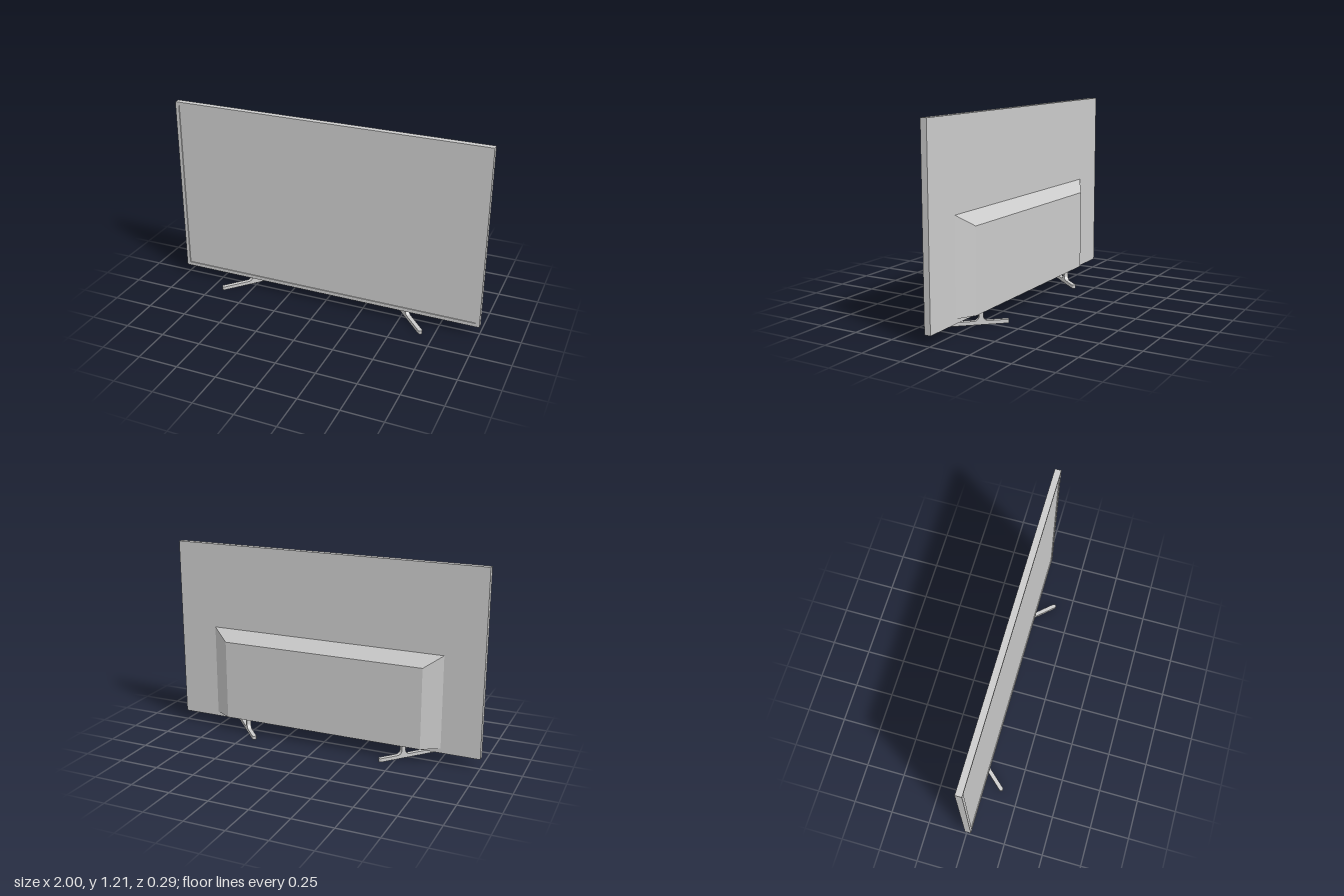
import * as THREE from 'three';
import { toCreasedNormals } from 'three/addons/utils/BufferGeometryUtils.js';

const material = new THREE.MeshStandardMaterial({ color: 0xcccccc });

function part(name, geometry, x = 0, y = 0, z = 0) {
  const mesh = new THREE.Mesh(geometry, material);
  mesh.name = name;
  mesh.position.set(x, y, z);
  return mesh;
}

function rectangle(path, x, y0, y1) {
  path.moveTo(-x, y0).lineTo(x, y0).lineTo(x, y1).lineTo(-x, y1).closePath();
  return path;
}

// Tapered rear housing: sides and top slope inward, bottom stays level
function housingGeometry() {
  const geometry = new THREE.BoxGeometry(2, 1, 1);
  const p = geometry.attributes.position;
  for (let i = 0; i < p.count; i++) {
    const back = p.getZ(i) < 0;
    p.setXYZ(i,
      Math.sign(p.getX(i)) * (back ? 0.65 : 0.76),
      p.getY(i) < 0 ? 0.09 : (back ? 0.597 : 0.67),
      back ? -0.07 : -0.006);
  }
  const flat = geometry.toNonIndexed();
  flat.computeVertexNormals();
  return flat;
}

// One foot: a round-ended bar with a filleted upright stem
function createFoot(side) {
  const foot = new THREE.Group();
  foot.name = side > 0 ? 'leftFoot' : 'rightFoot';
  const half = 0.179, r = 0.013, height = 0.022;

  const plan = new THREE.Shape();
  plan.moveTo(-half, -r).lineTo(half, -r);
  plan.absarc(half, 0, r, -Math.PI / 2, Math.PI / 2);
  plan.lineTo(-half, r);
  plan.absarc(-half, 0, r, Math.PI / 2, Math.PI * 1.5);
  const bar = new THREE.ExtrudeGeometry(plan, { depth: height, bevelEnabled: false, curveSegments: 10 });
  bar.rotateX(-Math.PI / 2);
  foot.add(part('footBar', toCreasedNormals(bar, 0.6)));

  const w = 0.012, f = 0.032, top = 0.095, base = height - 0.001;
  const profile = new THREE.Shape();
  profile.moveTo(-w - f, base).lineTo(w + f, base);
  profile.absarc(w + f, base + f, f, -Math.PI / 2, -Math.PI, true);
  profile.lineTo(w, top).lineTo(-w, top);
  profile.absarc(-w - f, base + f, f, 0, -Math.PI / 2, true);
  const stem = new THREE.ExtrudeGeometry(profile, { depth: 2 * r, bevelEnabled: false, curveSegments: 10 });
  foot.add(part('footStem', toCreasedNormals(stem, 0.6), -0.028, 0, -r));

  // Splayed so the front end points outward
  const angle = THREE.MathUtils.degToRad(48);
  foot.rotation.y = side > 0 ? -angle : Math.PI + angle;
  foot.position.x = side * 0.547;
  return foot;
}

export function createModel() {
  const model = new THREE.Group();
  model.name = 'television';
  const bottom = 0.062, top = 1.207, back = -0.007, front = 0.032, recess = 0.006;

  // Panel with a thin raised bezel around the recessed screen
  const depth = front - recess - back;
  model.add(part('panelBody', new THREE.BoxGeometry(2, top - bottom, depth),
    0, (top + bottom) / 2, back + depth / 2));
  const outline = rectangle(new THREE.Shape(), 1, bottom, top);
  outline.holes.push(rectangle(new THREE.Path(), 0.977, bottom + 0.023, top - 0.023));
  model.add(part('bezel', new THREE.ExtrudeGeometry(outline, { depth: recess, bevelEnabled: false }),
    0, 0, front - recess));

  model.add(part('rearHousing', housingGeometry()));
  for (const side of [1, -1]) model.add(createFoot(side));
  return model;
}
